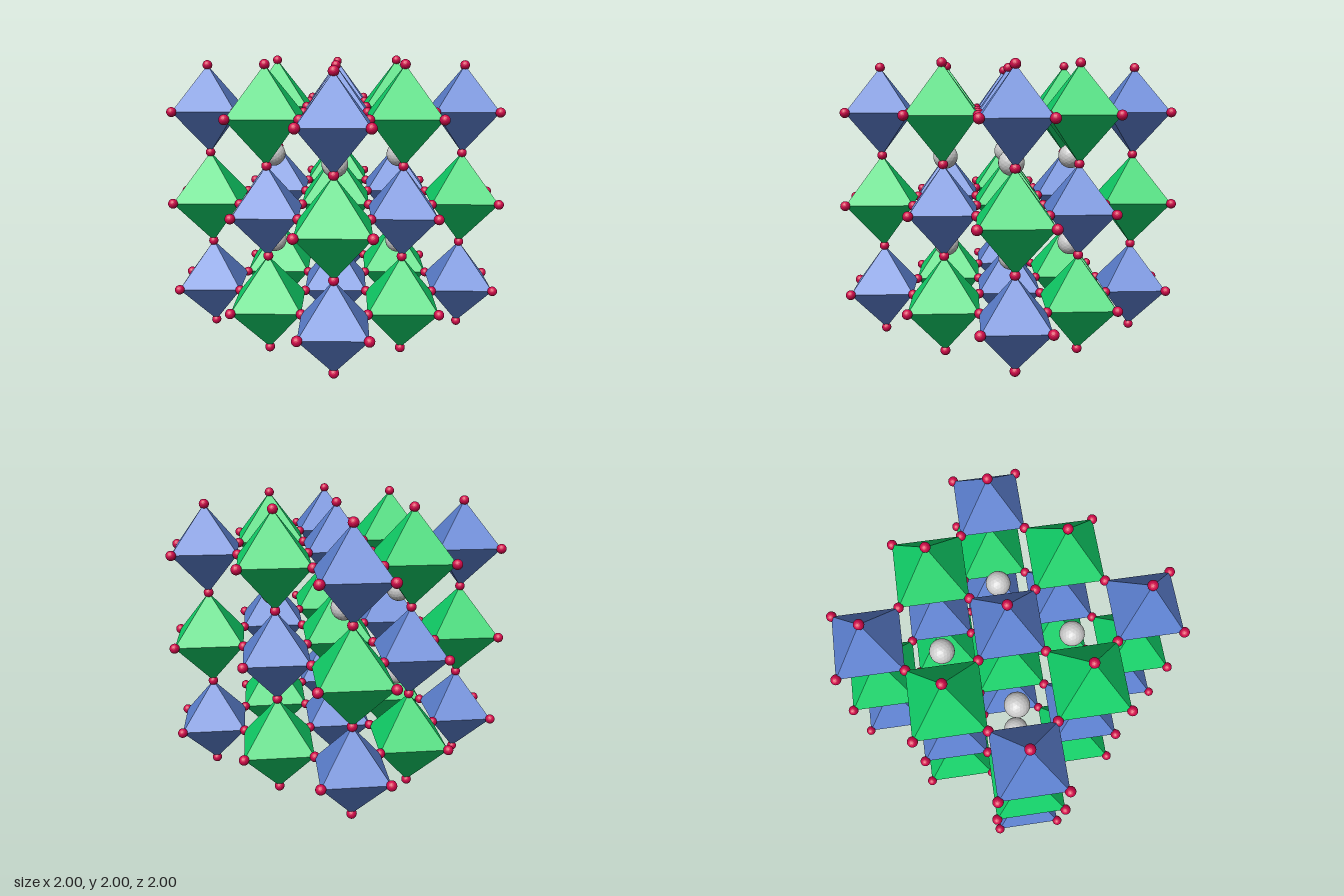
import * as THREE from 'three';

const SPACING = 0.637;      // distance between octahedron centres
const BIG = 0.329;          // green octahedron radius
const SMALL = SPACING - BIG; // blue octahedron radius, so that tips touch

function material(name, color) {
  const m = new THREE.MeshStandardMaterial({ color, flatShading: true });
  m.name = name;
  return m;
}

export function createModel() {
  const model = new THREE.Group();
  model.name = 'crystalLattice';

  const green = material('green', 0x10d068);
  const blue = material('blue', 0x5c80d0);
  const crimson = material('crimson', 0xd0084a);
  const grey = material('lightGrey', 0xcccccc);

  const bigOctahedron = new THREE.OctahedronGeometry(BIG);
  const smallOctahedron = new THREE.OctahedronGeometry(SMALL);
  const tipBall = new THREE.IcosahedronGeometry(0.034, 3);
  const cageBall = new THREE.IcosahedronGeometry(0.088, 3);

  const add = (name, geometry, mat, position) => {
    const mesh = new THREE.Mesh(geometry, mat);
    mesh.name = name;
    mesh.position.copy(position);
    mesh.position.y += 1;
    model.add(mesh);
  };

  const steps = [-1, 0, 1];
  for (const i of steps) for (const j of steps) for (const k of steps) {
    // Octahedra alternate in colour and size like a 3D checkerboard
    const isBig = (i + j + k) % 2 === 0;
    const cell = new THREE.Vector3(i, j, k);
    const centre = cell.clone().multiplyScalar(SPACING);
    if (isBig) add('greenOctahedron', bigOctahedron, green, centre);
    else add('blueOctahedron', smallOctahedron, blue, centre);

    // Tip balls: green ones own the shared tips, blue ones only the outer tips
    for (let axis = 0; axis < 3; axis++) for (const side of [-1, 1]) {
      const isOuter = cell.getComponent(axis) === side;
      if (!isBig && !isOuter) continue;
      const tip = centre.clone();
      tip.setComponent(axis, tip.getComponent(axis) + side * (isBig ? BIG : SMALL));
      add('tipBall', tipBall, crimson, tip);
    }
  }

  // Balls in the eight cavities between the octahedra
  for (const x of [-0.5, 0.5]) for (const y of [-0.5, 0.5]) for (const z of [-0.5, 0.5]) {
    add('cavityBall', cageBall, grey, new THREE.Vector3(x, y, z).multiplyScalar(SPACING));
  }

  return model;
}
